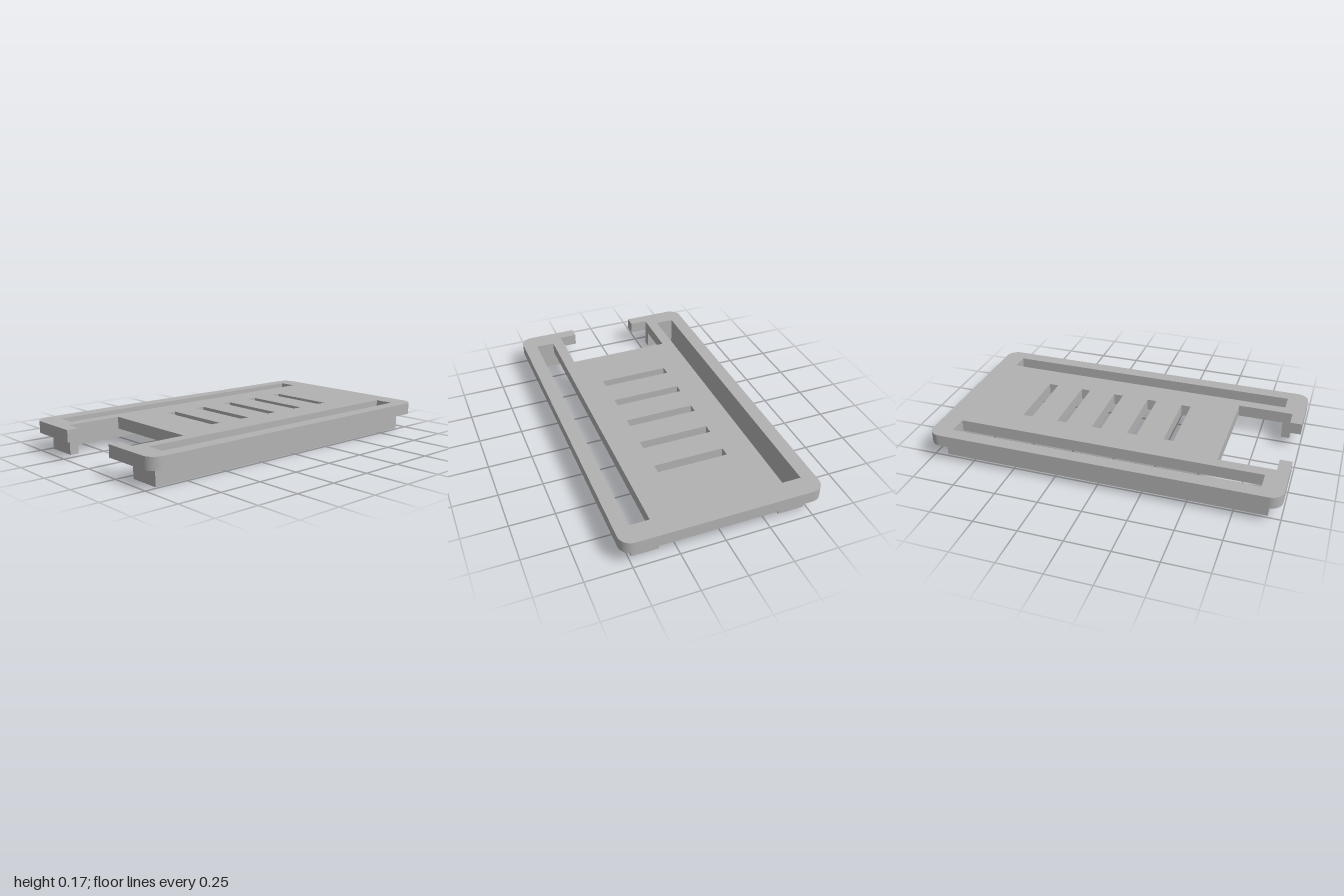
import * as THREE from 'three';

const TOP = 0.168, UNDER = 0.1;

// Extrude a plan drawn in (x, z) downwards from height y
function slab(shape, y, depth) {
  const g = new THREE.ExtrudeGeometry(shape, { depth, bevelEnabled: false, curveSegments: 10 });
  g.rotateX(Math.PI / 2);
  g.translate(0, y, 0);
  return g;
}

function rectHole(x0, x1, z0, z1) {
  const p = new THREE.Path();
  p.moveTo(x0, z0);
  p.lineTo(x0, z1);
  p.lineTo(x1, z1);
  p.lineTo(x1, z0);
  p.closePath();
  return p;
}

function plateShape() {
  const X = 1, Z = 0.555, r = 0.07;
  const s = new THREE.Shape();
  s.moveTo(-X + r, -Z);
  s.lineTo(X - r, -Z);
  s.absarc(X - r, -Z + r, r, -Math.PI / 2, 0);
  s.lineTo(X, Z - r);
  s.absarc(X - r, Z - r, r, 0, Math.PI / 2);
  s.lineTo(-X + r, Z);
  s.absarc(-X + r, Z - r, r, Math.PI / 2, Math.PI);
  // open notch with two hooked tabs
  s.lineTo(-X, 0.2);
  s.lineTo(-0.932, 0.2);
  s.lineTo(-0.932, 0.302);
  s.lineTo(-0.615, 0.302);
  s.lineTo(-0.615, -0.302);
  s.lineTo(-0.932, -0.302);
  s.lineTo(-0.932, -0.2);
  s.lineTo(-X, -0.2);
  s.lineTo(-X, -Z + r);
  s.absarc(-X + r, -Z + r, r, Math.PI, Math.PI * 1.5);
  // long side slots
  s.holes.push(rectHole(-0.88, 0.88, 0.367, 0.476), rectHole(-0.88, 0.88, -0.476, -0.367));
  // five short cross slots
  for (let i = 0; i < 5; i++) {
    const x = -0.313 + i * 0.2135;
    s.holes.push(rectHole(x - 0.028, x + 0.028, -0.2, 0.2));
  }
  return s;
}

// Thin side wall with a return at each end
function railShape(side) {
  const pts = [
    [-0.93, 0.302], [-0.88, 0.302], [-0.88, 0.476], [0.88, 0.476],
    [0.88, 0.335], [0.927, 0.335], [0.927, 0.485], [-0.93, 0.485],
  ];
  return new THREE.Shape(pts.map(([x, z]) => new THREE.Vector2(x, z * side)));
}

export function createModel() {
  const group = new THREE.Group();
  group.name = 'slottedTray';
  const grey = new THREE.MeshStandardMaterial({ color: 0xb2b2b2 });
  grey.name = 'grey';

  const add = (name, geometry) => {
    const mesh = new THREE.Mesh(geometry, grey);
    mesh.name = name;
    group.add(mesh);
  };

  add('plate', slab(plateShape(), TOP, TOP - UNDER));
  add('frontRail', slab(railShape(1), UNDER, UNDER));
  add('backRail', slab(railShape(-1), UNDER, UNDER));
  return group;
}
